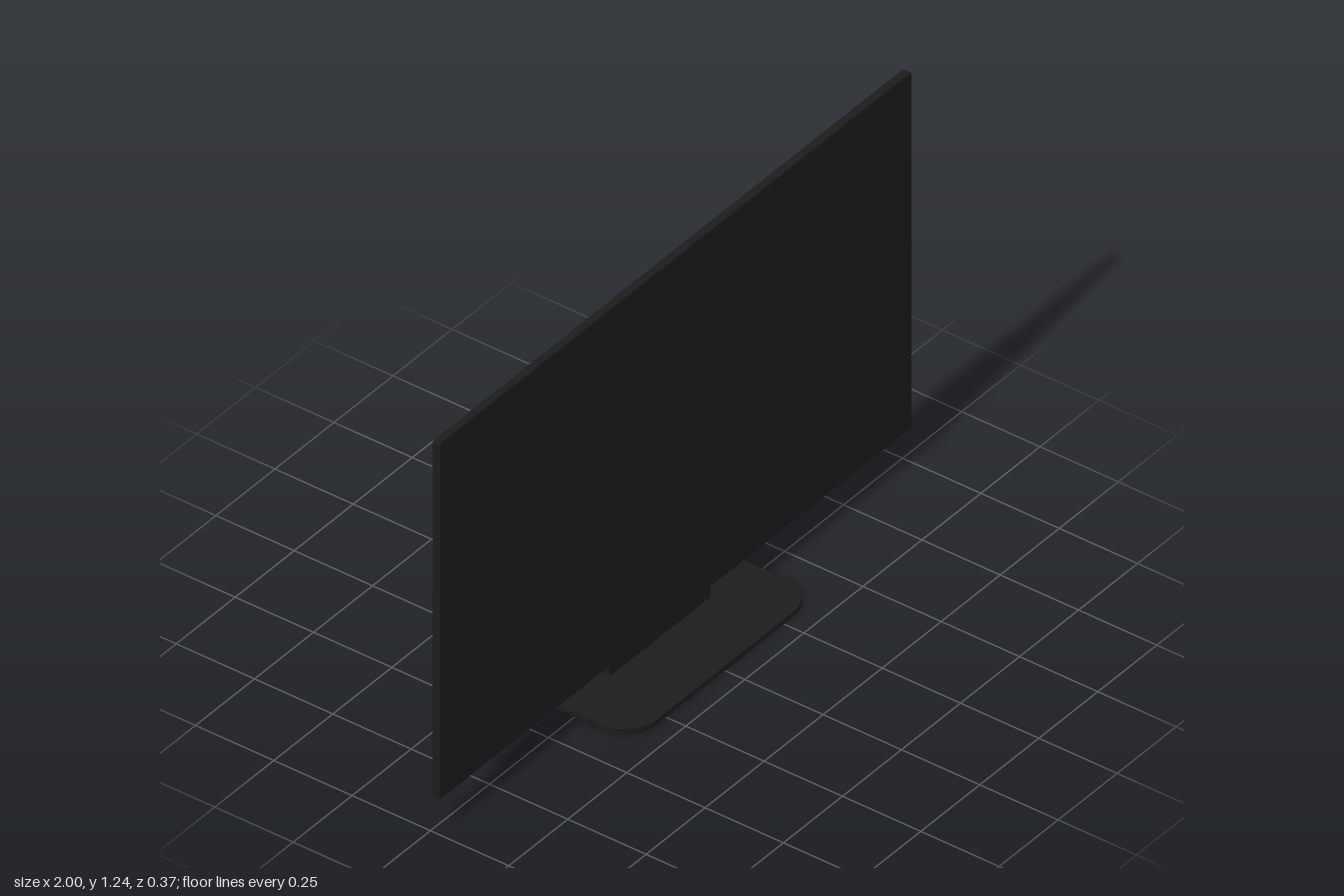
import * as THREE from 'three';

const black = new THREE.MeshStandardMaterial({ color: 0x1c1c1c });
black.name = 'matte black';

// Rounded rectangle centred on the origin
function roundedRect(w, h, r) {
  const x = w / 2, y = h / 2;
  const s = new THREE.Shape();
  s.moveTo(-x + r, -y);
  s.lineTo(x - r, -y);
  s.absarc(x - r, -y + r, r, -Math.PI / 2, 0);
  s.lineTo(x, y - r);
  s.absarc(x - r, y - r, r, 0, Math.PI / 2);
  s.lineTo(-x + r, y);
  s.absarc(-x + r, y - r, r, Math.PI / 2, Math.PI);
  s.lineTo(-x, -y + r);
  s.absarc(-x + r, -y + r, r, Math.PI, Math.PI * 1.5);
  return s;
}

// Rounded slab with a small edge bevel, centred on the origin
function slab(w, h, depth, r, bevel) {
  const geo = new THREE.ExtrudeGeometry(roundedRect(w - 2 * bevel, h - 2 * bevel, r), {
    depth: depth - 2 * bevel, curveSegments: 10,
    bevelEnabled: true, bevelSize: bevel, bevelThickness: bevel, bevelSegments: 2,
  });
  return geo.translate(0, 0, -(depth - 2 * bevel) / 2);
}

export function createModel() {
  const model = new THREE.Group();
  model.name = 'flatScreenDisplay';
  const add = (name, geo) => {
    const mesh = new THREE.Mesh(geo, black);
    mesh.name = name;
    model.add(mesh);
  };

  // Thin display panel
  add('screen', slab(2, 1.13, 0.025, 0.006, 0.003).translate(0, 0.675, 0.0175));

  // Raised housing on the back
  add('backHousing', slab(1.68, 0.745, 0.035, 0.04, 0.004).translate(0, 0.5525, -0.0105));

  // Tapered neck, extruded sideways from its side profile
  const profile = new THREE.Shape([
    [0.02, 0.012], [0.116, 0.012], [0.06, 0.425], [0.02, 0.425],
  ].map(([x, y]) => new THREE.Vector2(x, y)));
  const neck = new THREE.ExtrudeGeometry(profile, { depth: 0.424, bevelEnabled: false });
  add('neck', neck.translate(0, 0, -0.212).rotateY(Math.PI / 2));

  // Flat foot with rounded corners
  add('base', slab(0.78, 0.374, 0.016, 0.1, 0.001).rotateX(-Math.PI / 2).translate(0, 0.008, 0));

  return model;
}
